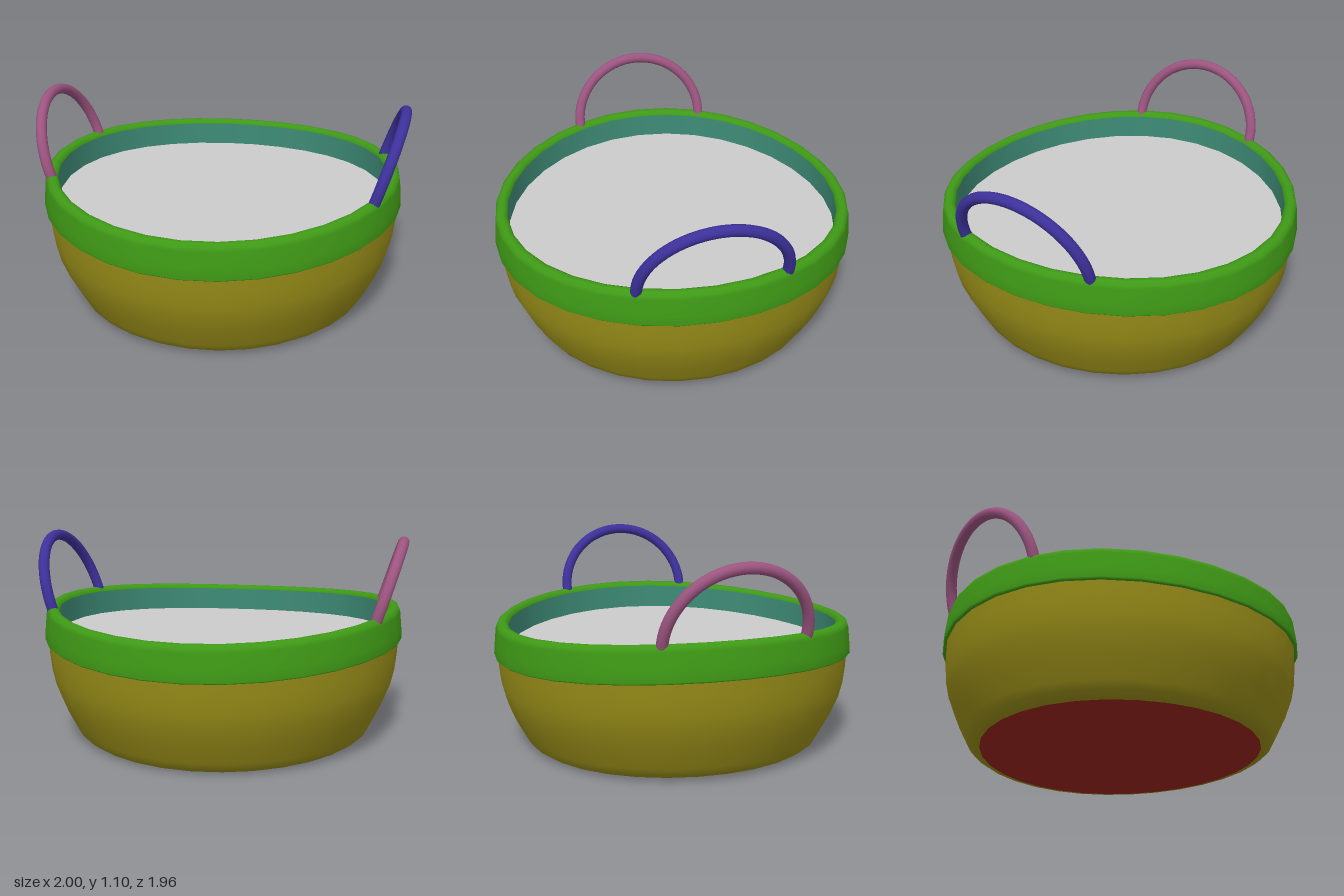
import * as THREE from 'three';

const SEGMENTS = 32;

const paint = (color) => new THREE.MeshStandardMaterial({ color });

// Revolve a [radius, height] profile, then bend it into a gentle saddle:
// higher towards the handles, stronger near the rim than at the base.
function saddleLathe(name, profile, color) {
  const geometry = new THREE.LatheGeometry(
    profile.map(([r, y]) => new THREE.Vector2(r, y)), SEGMENTS);
  const p = geometry.attributes.position;
  for (let i = 0; i < p.count; i++) {
    const x = p.getX(i), y = p.getY(i), z = p.getZ(i);
    const lift = 0.013 + 0.019 * Math.min(1, y / 0.6);
    p.setY(i, y + lift * (x * x - z * z));
  }
  const mesh = new THREE.Mesh(geometry, paint(color));
  mesh.name = name;
  return mesh;
}

// Outward-leaning arched handle on one side of the rim
function handle(name, side, color) {
  const points = [];
  const steps = 24;
  for (let i = 0; i <= steps; i++) {
    const a = -0.06 + (Math.PI + 0.12) * (i / steps);
    const rise = Math.sin(a);
    points.push(new THREE.Vector3(
      side * (0.862 + 0.11 * rise), 0.725 + 0.347 * rise, 0.375 * Math.cos(a)));
  }
  const curve = new THREE.CatmullRomCurve3(points);
  const group = new THREE.Group();
  group.name = name;
  const material = paint(color);
  const arch = new THREE.Mesh(new THREE.TubeGeometry(curve, 40, 0.029, 12), material);
  arch.name = name + 'Arch';
  group.add(arch);
  // Rounded feet where the arch meets the rim
  for (const end of [points[0], points[steps]]) {
    const foot = new THREE.Mesh(new THREE.SphereGeometry(0.029, 12, 8), material);
    foot.name = name + 'Foot';
    foot.position.copy(end);
    group.add(foot);
  }
  return group;
}

export function createModel() {
  const basket = new THREE.Group();
  basket.name = 'basket';

  // Flat underside
  basket.add(saddleLathe('base', [[0, 0.008], [0.4, 0.008], [0.748, 0.008]], 0x98241e));

  // Bowl-shaped outer wall
  basket.add(saddleLathe('bowl', [
    [0.748, 0.008], [0.782, 0.014], [0.812, 0.036], [0.834, 0.075], [0.888, 0.18],
    [0.928, 0.28], [0.947, 0.36], [0.957, 0.45], [0.964, 0.56],
  ], 0x978c18));

  // Thick band around the top, with a rounded upper lip
  basket.add(saddleLathe('rim', [
    [0.95, 0.522], [0.972, 0.522], [0.98, 0.53], [0.976, 0.58], [0.967, 0.67],
    [0.961, 0.69], [0.944, 0.703], [0.922, 0.703], [0.906, 0.695], [0.9, 0.68],
  ], 0x3f9a16));

  // Inner wall above the filling
  basket.add(saddleLathe('innerWall', [[0.9, 0.68], [0.902, 0.54]], 0x3f8d78));

  // Filling surface
  basket.add(saddleLathe('filling', [[0.902, 0.547], [0.6, 0.547], [0.3, 0.547], [0, 0.547]], 0xcccccc));

  // Handles
  basket.add(handle('leftHandle', 1, 0x3d319b));
  basket.add(handle('rightHandle', -1, 0x9c5480));

  return basket;
}
